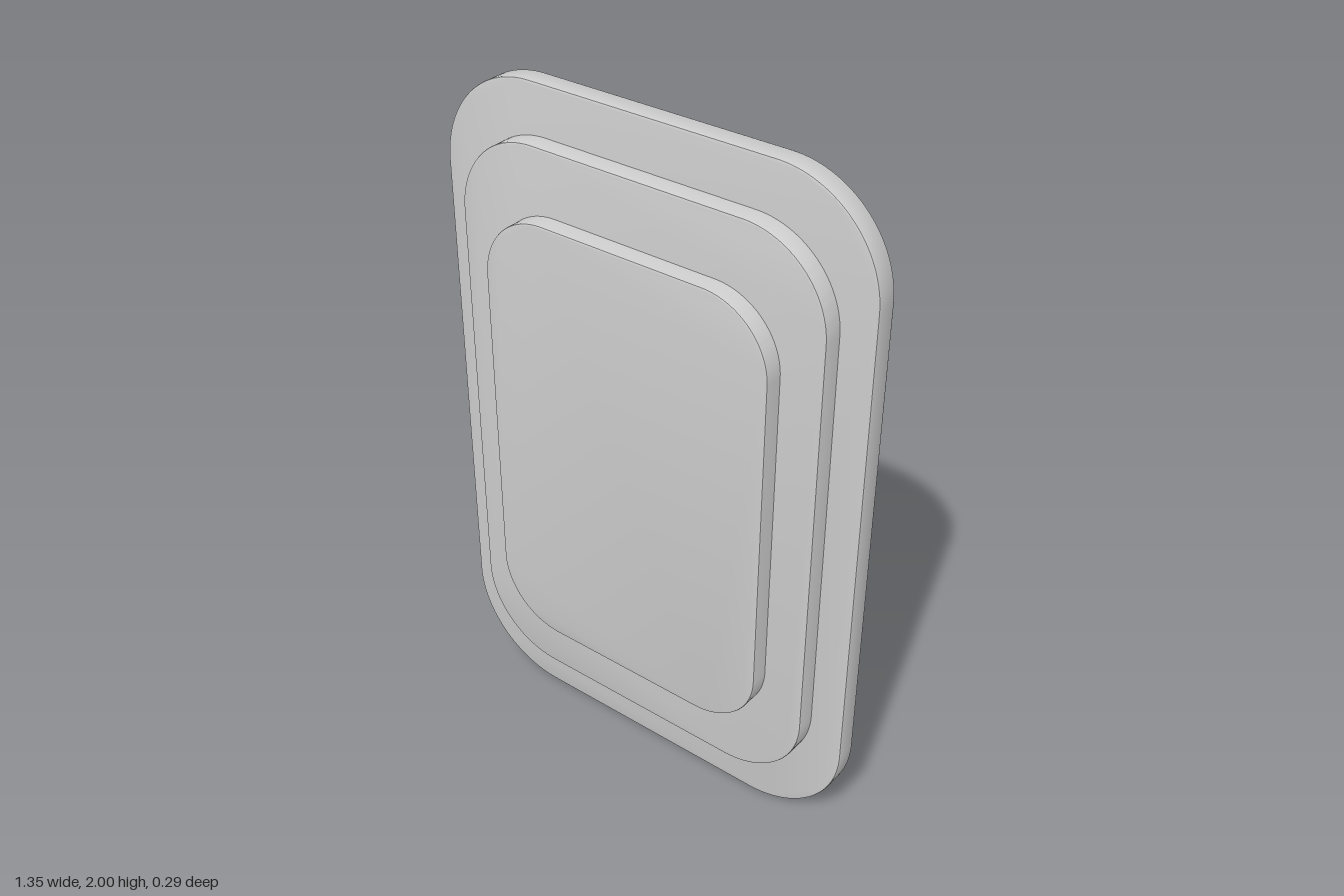
import * as THREE from 'three';
import { toCreasedNormals } from 'three/addons/utils/BufferGeometryUtils.js';

// Rounded rectangle plate, centred on z = 0, with a tiny edge bevel
function plate(name, halfW, y0, y1, radius, halfD, material) {
  const b = 0.005;
  const w = halfW - b, lo = y0 + b, hi = y1 - b, r = radius - b;
  const s = new THREE.Shape();
  s.moveTo(-w + r, lo);
  s.lineTo(w - r, lo);
  s.absarc(w - r, lo + r, r, -Math.PI / 2, 0);
  s.lineTo(w, hi - r);
  s.absarc(w - r, hi - r, r, 0, Math.PI / 2);
  s.lineTo(-w + r, hi);
  s.absarc(-w + r, hi - r, r, Math.PI / 2, Math.PI);
  s.lineTo(-w, lo + r);
  s.absarc(-w + r, lo + r, r, Math.PI, Math.PI * 1.5);
  const depth = 2 * (halfD - b);
  const geo = new THREE.ExtrudeGeometry(s, {
    depth, bevelEnabled: true, bevelSize: b, bevelThickness: b, bevelSegments: 2, curveSegments: 16,
  });
  geo.translate(0, 0, -depth / 2);
  const mesh = new THREE.Mesh(toCreasedNormals(geo, 0.4), material);
  mesh.name = name;
  return mesh;
}

export function createModel() {
  const group = new THREE.Group();
  group.name = 'steppedPanel';
  const grey = new THREE.MeshStandardMaterial({ color: 0xcccccc });
  grey.name = 'light grey';

  // Each plate is smaller and thicker than the last, so it steps out on both sides
  group.add(
    plate('outerPlate', 0.675, 0, 2, 0.3, 0.032, grey),
    plate('middlePlate', 0.575, 0.148, 1.858, 0.25, 0.089, grey),
    plate('innerPlate', 0.453, 0.332, 1.676, 0.2, 0.143, grey),
  );
  return group;
}
